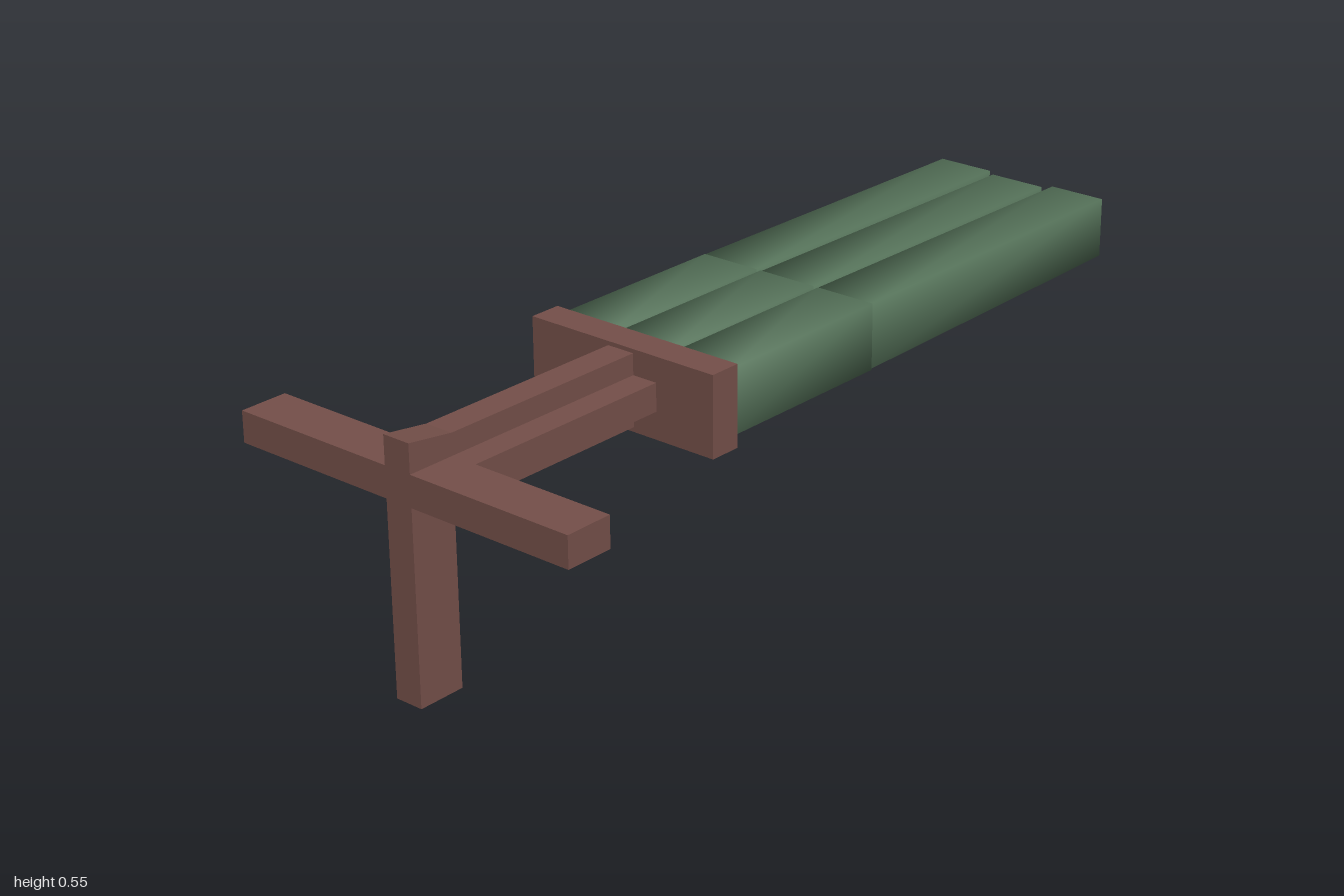
import * as THREE from 'three';

const brown = new THREE.MeshStandardMaterial({ color: 0x744f49 });
brown.name = 'brown frame';
const green = new THREE.MeshStandardMaterial({ color: 0x56735a });
green.name = 'green tubes';

// Box given by its lower and upper corners
function block(name, [x0, y0, z0], [x1, y1, z1]) {
  const geo = new THREE.BoxGeometry(x1 - x0, y1 - y0, z1 - z0);
  geo.translate((x0 + x1) / 2, (y0 + y1) / 2, (z0 + z1) / 2);
  const mesh = new THREE.Mesh(geo, brown);
  mesh.name = name;
  return mesh;
}

// Smooth four-cornered loft; rings are [x, y, z, halfWidth, halfHeight], front to back
function loft(name, rings, capFront, capBack) {
  const corners = [[-1, -1], [1, -1], [1, 1], [-1, 1]];
  const positions = [];
  const index = [];
  for (const [x, y, z, w, h] of rings)
    for (const [sx, sy] of corners) positions.push(x + sx * w, y + sy * h, z);
  for (let r = 0; r < rings.length - 1; r++) {
    for (let i = 0; i < 4; i++) {
      const j = (i + 1) % 4;
      const a = r * 4, b = a + 4;
      index.push(a + i, b + i, b + j, a + i, b + j, a + j);
    }
  }
  if (capFront) index.push(0, 1, 2, 0, 2, 3);
  if (capBack) {
    const e = (rings.length - 1) * 4;
    index.push(e, e + 2, e + 1, e, e + 3, e + 2);
  }
  const geo = new THREE.BufferGeometry();
  geo.setAttribute('position', new THREE.Float32BufferAttribute(positions, 3));
  geo.setIndex(index);
  geo.computeVertexNormals();
  const mesh = new THREE.Mesh(geo, green);
  mesh.name = name;
  return mesh;
}

export function createModel() {
  const model = new THREE.Group();
  model.name = 'model';

  // Upright post and central web as one side profile (z, y)
  const profile = new THREE.Shape([
    [1, 0], [1, 0.553], [0.89, 0.537], [0.385, 0.537],
    [0.385, 0.378], [0.89, 0.378], [0.89, 0],
  ].map(([z, y]) => new THREE.Vector2(z, y)));
  const webGeo = new THREE.ExtrudeGeometry(profile, { depth: 0.066, bevelEnabled: false });
  webGeo.translate(0, 0, -0.033);
  webGeo.rotateY(-Math.PI / 2);
  const web = new THREE.Mesh(webGeo, brown);
  web.name = 'postAndWeb';
  model.add(web);

  // Handlebar arms and side flanges, mirrored
  for (const [side, s] of [['left', 1], ['right', -1]]) {
    const span = (a, b) => (s > 0 ? [a, b] : [-b, -a]);
    const [a0, a1] = span(0.033, 0.428);
    model.add(block(side + 'Arm', [a0, 0.422, 0.89], [a1, 0.49, 1]));
    const [f0, f1] = span(0.033, 0.093);
    model.add(block(side + 'Flange', [f0, 0.428, 0.385], [f1, 0.49, 0.89]));
  }

  // Mounting plate
  model.add(block('mountingPlate', [-0.24, 0.367, 0.313], [0.24, 0.546, 0.387]));

  // Three long tubes, each with a front sleeve and a hollow-ended rear length
  const tubes = [
    ['right', -0.16, -0.161, -0.995],
    ['middle', -0.005, -0.004, -0.978],
    ['left', 0.151, 0.149, -0.997],
  ];
  for (const [side, xf, xb, end] of tubes) {
    const tube = new THREE.Group();
    tube.name = side + 'Tube';
    tube.add(loft('frontSleeve', [
      [xf, 0.458, 0.314, 0.072, 0.073],
      [xf, 0.457, -0.14, 0.072, 0.074],
    ], true, false));
    tube.add(loft('rearLength', [
      [xb, 0.457, -0.14, 0.071, 0.073],
      [xb, 0.457, end, 0.068, 0.068],
      [xb, 0.457, end, 0.05, 0.05],
      [xb, 0.457, end + 0.025, 0.044, 0.044],
    ], false, true));
    model.add(tube);
  }
  return model;
}
